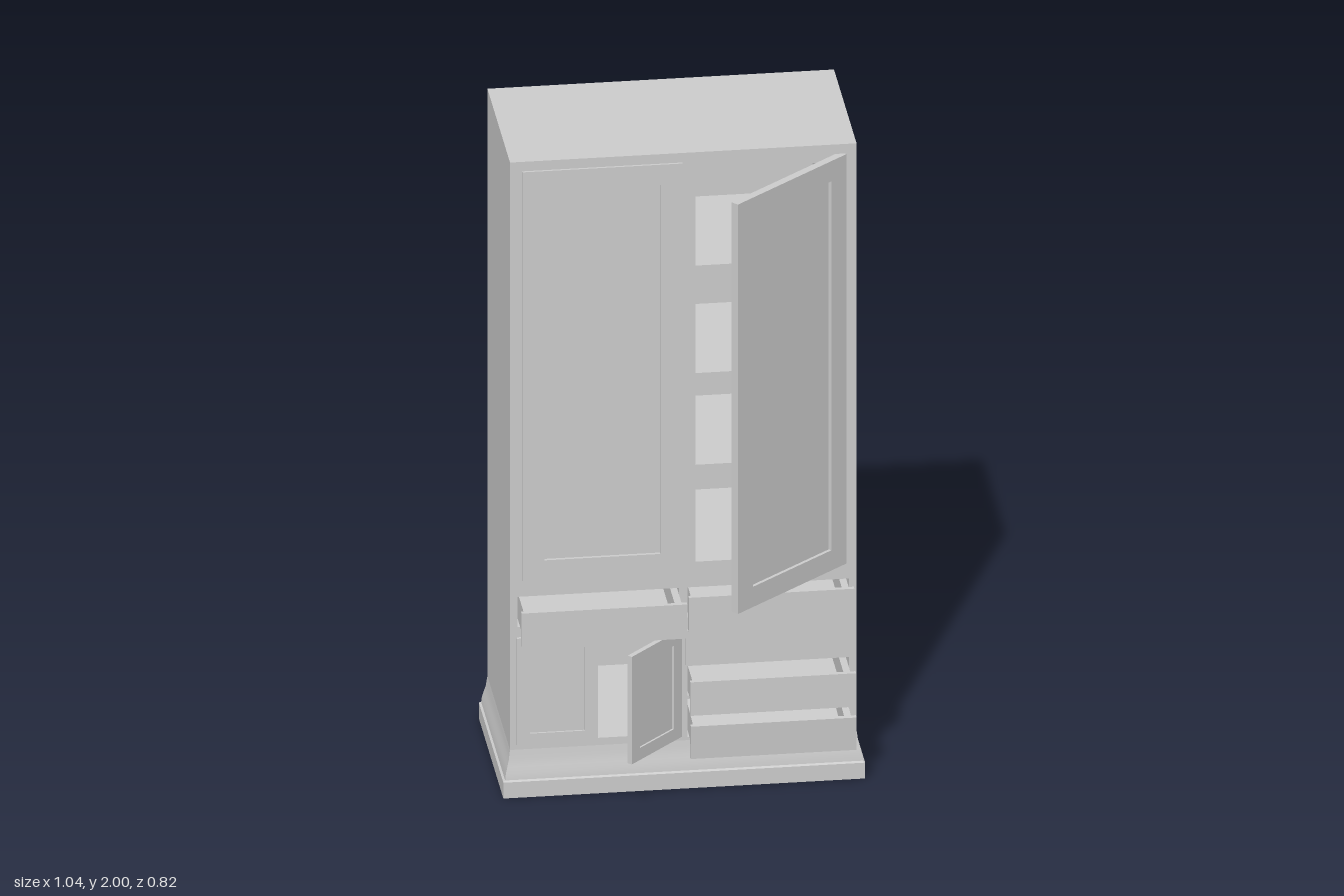
import * as THREE from 'three';
import { toCreasedNormals } from 'three/addons/utils/BufferGeometryUtils.js';

const material = new THREE.MeshStandardMaterial({ color: 0xcccccc });

function mesh(geometry, name) {
  const m = new THREE.Mesh(geometry, material);
  m.name = name;
  return m;
}

// Box given by its minimum and maximum corners
function box(name, x0, x1, y0, y1, z0, z1) {
  const m = mesh(new THREE.BoxGeometry(x1 - x0, y1 - y0, z1 - z0), name);
  m.position.set((x0 + x1) / 2, (y0 + y1) / 2, (z0 + z1) / 2);
  return m;
}

function rect(Type, x0, x1, y0, y1) {
  return new Type([[x0, y0], [x1, y0], [x1, y1], [x0, y1]].map(([x, y]) => new THREE.Vector2(x, y)));
}

// Rectangular plate with rectangular holes, from z0 to z1
function plate(name, outer, holes, z0, z1) {
  const shape = rect(THREE.Shape, ...outer);
  holes.forEach((h) => shape.holes.push(rect(THREE.Path, ...h)));
  const g = new THREE.ExtrudeGeometry(shape, { depth: z1 - z0, bevelEnabled: false });
  g.translate(0, 0, z0);
  return mesh(g, name);
}

// Framed door with recessed panel; its origin is the outer right lower corner
function door(name, w, h, t, margin, recess, x, y, z, angle) {
  const group = new THREE.Group();
  group.name = name;
  const hole = [-w + margin, -margin, margin, h - margin];
  group.add(plate('doorFrame', [-w, 0, 0, h], [hole], -t, 0));
  group.add(box('doorPanel', ...hole, -t + 0.002, -recess));
  group.position.set(x, y, z);
  group.rotation.y = angle;
  return group;
}

// Open-topped drawer; its origin is the centre of the front face
function drawer(name, x, y, z, w, h, depth, tilt = 0) {
  const group = new THREE.Group();
  group.name = name;
  const front = 0.014, wall = 0.02, half = w / 2 - 0.011;
  const low = -h / 2 + 0.01, high = h / 2 - 0.015;
  group.add(box('drawerFront', -w / 2, w / 2, -h / 2, h / 2, -front, 0));
  for (const s of [-1, 1]) {
    const a = s * half, b = s * (half - wall);
    group.add(box('drawerSide', Math.min(a, b), Math.max(a, b), low, high, -depth, -front));
  }
  group.add(box('drawerBack', -half + wall, half - wall, low, high, -depth, -depth + wall));
  group.add(box('drawerFloor', -half + wall, half - wall, low, low + 0.012, -depth + wall, -front));
  group.position.set(x, y, z);
  group.rotation.x = tilt;
  return group;
}

// Moulded base: a box whose rows follow a profile of [overhang, height]
function base() {
  const profile = [[0.022, 0], [0.022, 0.05], [0.016, 0.054], [0.014, 0.072], [0.009, 0.092],
    [0.004, 0.112], [0.002, 0.128], [0, 0.142]];
  const rows = profile.length - 1;
  const g = new THREE.BoxGeometry(1, 1, 1, 1, rows, 1);
  const p = g.attributes.position;
  for (let i = 0; i < p.count; i++) {
    const [out, y] = profile[Math.round((p.getY(i) + 0.5) * rows)];
    p.setXYZ(i, Math.sign(p.getX(i)) * (0.5 + out), y, Math.sign(p.getZ(i)) * (0.25 + out) - 0.14);
  }
  return mesh(toCreasedNormals(g, 0.7), 'base');
}

export function createModel() {
  const model = new THREE.Group();
  model.name = 'wardrobe';
  model.add(base());

  // Carcass with its compartments, closed by a back panel
  const openings = [
    [-0.435, -0.035, 0.705, 1.945], [0.035, 0.435, 0.705, 1.945],
    [-0.478, -0.012, 0.53, 0.625], [0.012, 0.478, 0.53, 0.625],
    [-0.465, -0.02, 0.165, 0.488],
    [0.012, 0.478, 0.39, 0.49], [0.012, 0.478, 0.283, 0.378], [0.012, 0.478, 0.152, 0.272],
  ];
  model.add(plate('carcass', [-0.5, 0.5, 0.13, 2], openings, -0.37, 0.11));
  model.add(box('backPanel', -0.5, 0.5, 0.13, 2, -0.39, -0.37));

  // Shelves in both upper compartments
  for (const x of [-0.435, 0.035]) {
    for (const y of [0.99, 1.28, 1.62]) model.add(box('shelf', x, x + 0.4, y, y + 0.012, -0.37, 0.09));
  }

  // Doors: left-hand ones closed, right-hand ones ajar
  model.add(door('upperClosedDoor', 0.462, 1.295, 0.024, 0.064, 0.01, -0.003, 0.675, 0.117, 0));
  model.add(door('upperOpenDoor', 0.46, 1.295, 0.024, 0.064, 0.01, 0.47, 0.675, 0.115, 0.7));
  model.add(door('lowerClosedDoor', 0.235, 0.34, 0.015, 0.038, 0.006, -0.247, 0.157, 0.12, 0));
  model.add(door('lowerOpenDoor', 0.235, 0.34, 0.015, 0.038, 0.006, -0.005, 0.157, 0.117, Math.PI / 4));

  // Drawers, pulled out by different amounts
  model.add(drawer('topLeftDrawer', -0.244, 0.578, 0.238, 0.478, 0.108, 0.42));
  model.add(drawer('topRightDrawer', 0.244, 0.578, 0.195, 0.478, 0.108, 0.42));
  model.add(drawer('closedDrawer', 0.244, 0.438, 0.124, 0.478, 0.11, 0.42));
  model.add(drawer('middleDrawer', 0.244, 0.328, 0.23, 0.478, 0.106, 0.42));
  model.add(drawer('tiltedDrawer', 0.244, 0.193, 0.237, 0.478, 0.106, 0.3, 0.07));
  return model;
}
